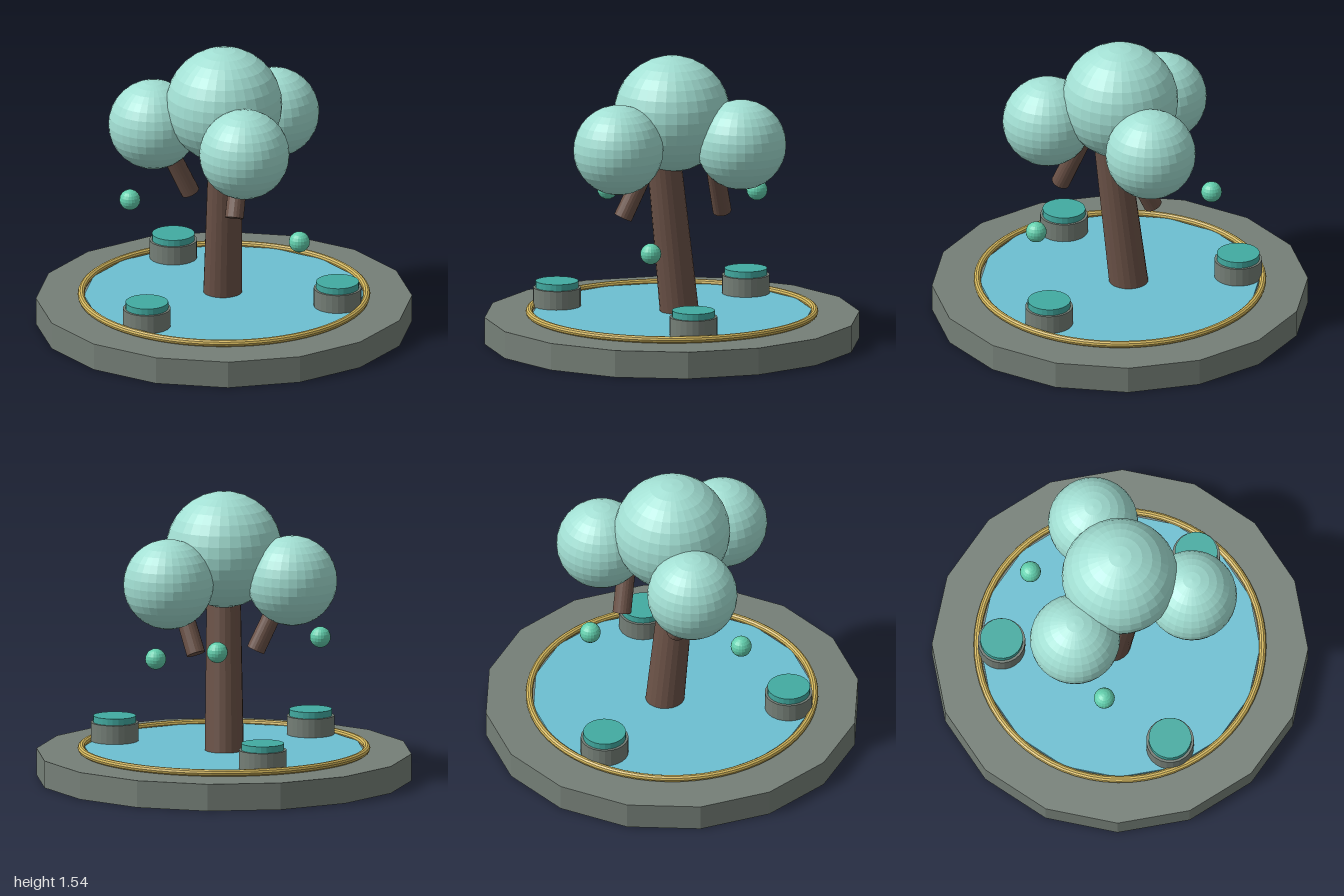
import * as THREE from 'three';

const mat = (name, color) => {
  const m = new THREE.MeshStandardMaterial({ color, flatShading: true });
  m.name = name;
  return m;
};

export function createModel() {
  const model = new THREE.Group();
  const stone = mat('grey stone', 0x757f77);
  const water = mat('pool blue', 0x6dc0d2);
  const gold = mat('gold', 0xd4b75c);
  const bark = mat('brown bark', 0x6b5247);
  const leaf = mat('pale mint leaf', 0xa2dfd3);
  const moss = mat('teal moss', 0x42aba1);
  const glow = mat('green orb', 0x62cfad);

  const add = (name, geometry, material, x, y, z) => {
    const mesh = new THREE.Mesh(geometry, material);
    mesh.name = name;
    mesh.position.set(x, y, z);
    model.add(mesh);
    return mesh;
  };
  // Cylinder standing between two heights
  const disc = (name, r, y0, y1, sides, material, x = 0, z = 0) =>
    add(name, new THREE.CylinderGeometry(r, r, y1 - y0, sides), material, x, (y0 + y1) / 2, z);
  // Tapered log with its axis along a direction
  const log = (name, rTop, rBottom, length, pos, dir) => {
    const mesh = add(name, new THREE.CylinderGeometry(rTop, rBottom, length, 20), bark, ...pos);
    mesh.quaternion.setFromUnitVectors(new THREE.Vector3(0, 1, 0), new THREE.Vector3(...dir).normalize());
  };
  const ball = (name, r, material, x, y, z, seg = 32) =>
    add(name, new THREE.SphereGeometry(r, seg, seg / 2), material, x, y, z);

  // Island base, pool and gold rim
  disc('base', 1, 0, 0.145, 16, stone);
  disc('water', 0.745, 0.14, 0.16, 16, water);
  add('poolRim', new THREE.TorusGeometry(0.759, 0.019, 10, 64), gold, 0, 0.163, 0).rotation.x = Math.PI / 2;

  // Leaning trunk and crown
  log('trunk', 0.091, 0.104, 0.84, [0, 0.555, 0], [-0.073, 1, 0.093]);
  ball('crown', 0.31, leaf, 0, 1.235, 0);

  // Three leafy side clumps, each with a slanted branch
  for (let i = 0; i < 3; i++) {
    const a = (i * Math.PI * 2) / 3, c = Math.cos(a), s = Math.sin(a);
    ball('leafClump', 0.24, leaf, 0.386 * c, 1.09, 0.386 * s);
    log('branch', 0.048, 0.05, 0.34, [0.256 * c, 0.862, 0.256 * s], [0.48 * s, 1, 0.48 * c]);
  }

  // Stepping stones with moss caps
  for (const [x, z] of [[0.295, 0.553], [-0.63, 0.035], [0.225, -0.588]]) {
    disc('steppingStone', 0.127, 0.15, 0.26, 24, stone, x, z);
    disc('mossCap', 0.114, 0.255, 0.295, 24, moss, x, z);
  }

  // Floating orbs
  for (const [x, y, z] of [[-0.444, 0.746, -0.267], [0.044, 0.576, 0.512], [0.357, 0.77, -0.37]])
    ball('floatingOrb', 0.056, glow, x, y, z, 20);

  return model;
}
